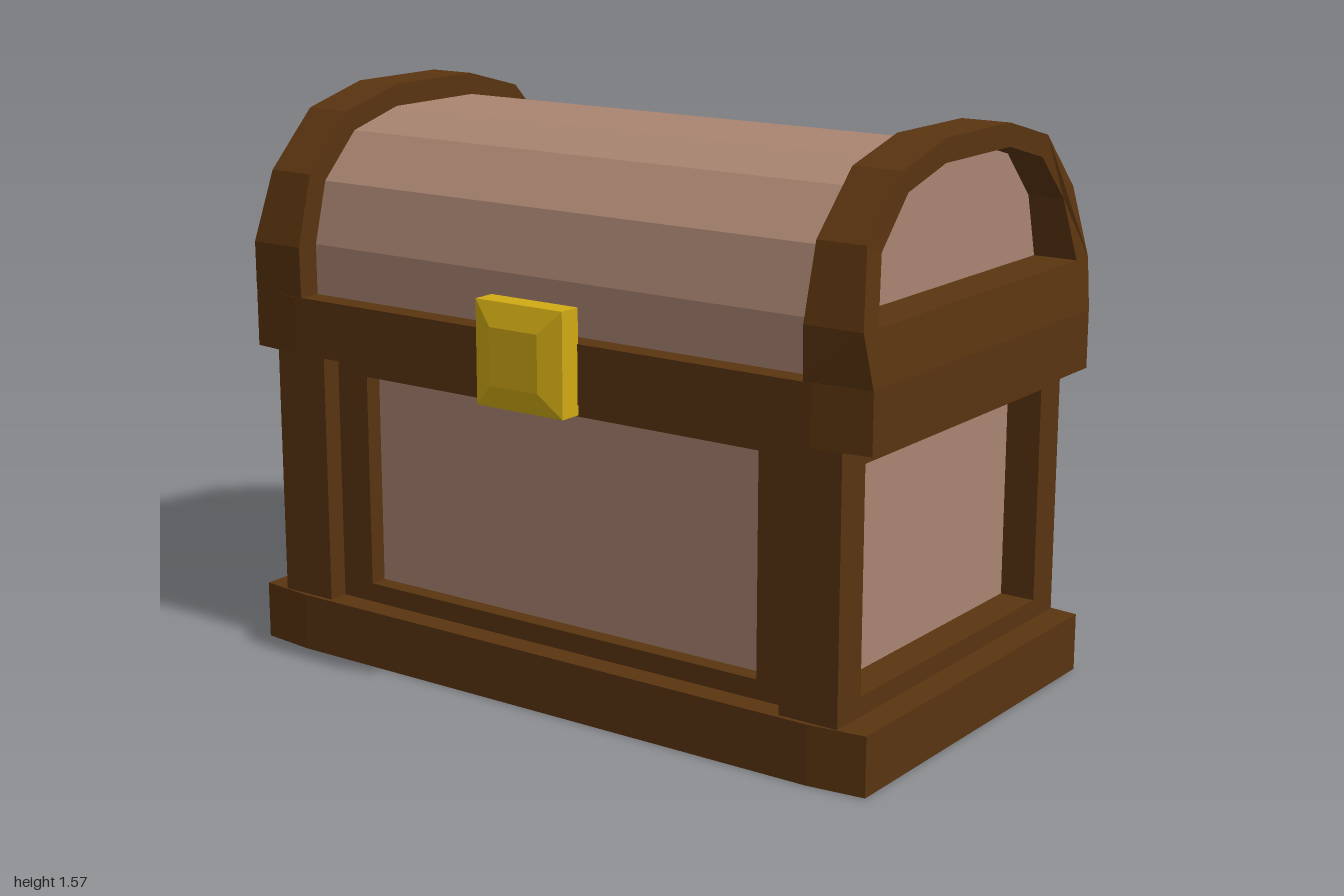
import * as THREE from 'three';

const mat = (color) => new THREE.MeshStandardMaterial({ color, flatShading: true });

export function createModel() {
  const wood = mat(0x5a3410), panel = mat(0xaa8572), gold = mat(0xd0aa14);
  const model = new THREE.Group();
  const chest = new THREE.Group();
  chest.name = 'chest';
  chest.position.x = 0.04;
  model.add(chest);

  const add = (name, geometry, material, parent = chest) => {
    const mesh = new THREE.Mesh(geometry, material);
    mesh.name = name;
    parent.add(mesh);
    return mesh;
  };
  const polygon = (pts) => new THREE.Shape(pts.map(([x, y]) => new THREE.Vector2(x, y)));
  const mirrored = (pts) => [...pts, ...pts.map(([x, y]) => [-x, y]).reverse()];
  const rect = (w, y0, y1) => mirrored([[w, y0], [w, y1]]);
  const extrude = (shape, depth, z = 0) =>
    new THREE.ExtrudeGeometry(shape, { depth, bevelEnabled: false }).translate(0, 0, z);
  const framed = (outer, inner, depth, z) => {
    const shape = polygon(outer);
    shape.holes.push(polygon(inner));
    return extrude(shape, depth, z);
  };

  // Base and lid rim: slabs that narrow slightly towards both ends
  const plan = mirrored([[0.555, -1], [0.573, -0.84], [0.573, 0.84], [0.555, 1]]);
  const slab = (y0, y1) => extrude(polygon(plan), y1 - y0).rotateX(-Math.PI / 2).translate(0, y0, 0);
  add('base', slab(0, 0.16), wood);
  add('lidRim', slab(0.86, 1.02), wood);

  // Body panels and the barrel of the lid
  add('bodyPanels', new THREE.BoxGeometry(0.906, 0.7, 1.64).translate(0, 0.51, 0), panel);
  const innerArch = [[0.508, 1.16], [0.463, 1.33], [0.34, 1.455], [0.163, 1.503]];
  add('lidBarrel', extrude(polygon(mirrored([[0.508, 1.01], ...innerArch])), 1.71, -0.855), panel);

  // End arch with a board below; its outer face leans inwards up to y = 1.355
  const outerArch = [[0.573, 1.02], [0.575, 1.16], [0.523, 1.355], [0.367, 1.51], [0.16, 1.565]];
  const arch = framed(mirrored(outerArch), mirrored(innerArch), 0.185, 0.815);
  const p = arch.attributes.position;
  for (let i = 0; i < p.count; i++) {
    if (p.getZ(i) < 0.9) continue;
    const t = Math.min(1, (p.getY(i) - 1.02) / 0.335);
    p.setZ(i, 1 - 0.045 * t);
    if (t < 0.01) p.setX(i, p.getX(i) * 0.97);
  }
  arch.computeVertexNormals();

  // Corner posts with end frame, and arch, at both ends
  const endFrame = framed(rect(0.56, 0.16, 0.86), rect(0.453, 0.213, 0.808), 0.17, 0.75);
  const sideFrame = framed(rect(0.75, 0.16, 0.86), rect(0.645, 0.213, 0.808), 0.053, 0.45);
  for (const [side, turn] of [['front', 0], ['back', Math.PI]]) {
    const end = new THREE.Group();
    end.name = side + 'End';
    end.rotation.y = turn;
    chest.add(end);
    add(side + 'PostFrame', endFrame, wood, end);
    add(side + 'LidArch', arch, wood, end);
  }

  // Recessed frames on the long sides
  for (const [side, s] of [['left', 1], ['right', -1]])
    add(side + 'SideFrame', sideFrame, wood).rotation.y = s * Math.PI / 2;

  // Lock plate with a bevelled outer face
  const lock = new THREE.BoxGeometry(2, 0.28, 0.28, 2, 1, 1).toNonIndexed();
  const q = lock.attributes.position;
  for (let i = 0; i < q.count; i++) {
    const x = q.getX(i), k = x < -0.5 ? 0.55 : 1;
    q.setXYZ(i, x < -0.5 ? -0.618 : x < 0.5 ? -0.595 : -0.53, 0.974 + q.getY(i) * k, q.getZ(i) * k);
  }
  lock.computeVertexNormals();
  add('lockPlate', lock, gold, model);

  return model;
}
